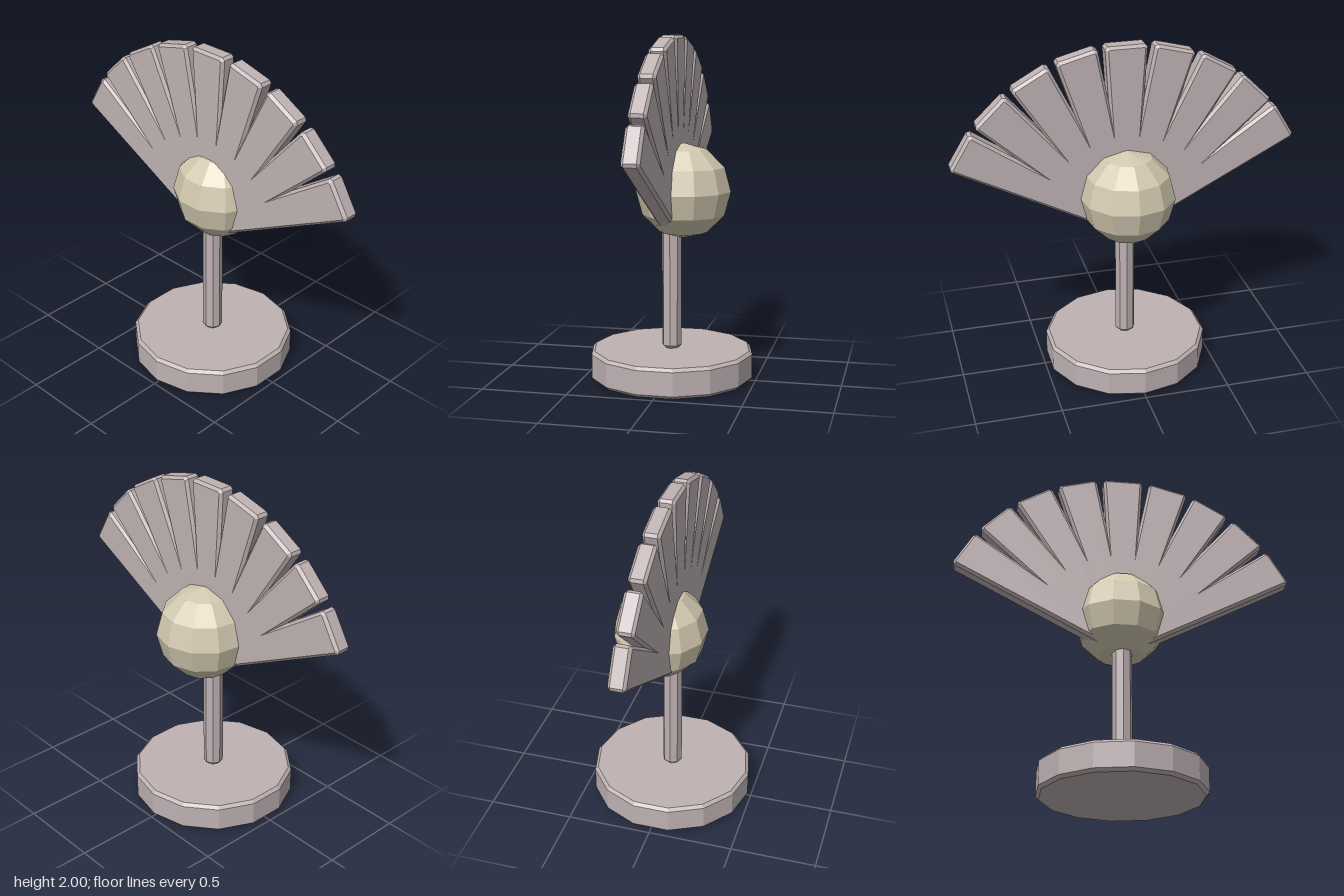
import * as THREE from 'three';

const BEVEL = 0.016;

// Faceted, chamfered upright cylinder
function chamferedDrum(radius, y0, y1, sides, chamfer) {
  const profile = [
    [0, y0], [radius - chamfer, y0], [radius, y0 + chamfer],
    [radius, y1 - chamfer], [radius - chamfer, y1], [0, y1],
  ].map(([r, y]) => new THREE.Vector2(r, y));
  return new THREE.LatheGeometry(profile, sides);
}

// Tapered blade with chamfered tip and edges, standing on its pivot
function bladeGeometry(length, baseHalf, tipHalf, thickness) {
  const c = BEVEL;
  const shape = new THREE.Shape([
    [-baseHalf, 0], [baseHalf, 0], [tipHalf, length - c], [tipHalf - c, length],
    [c - tipHalf, length], [-tipHalf, length - c],
  ].map(([x, y]) => new THREE.Vector2(x, y)));
  const geo = new THREE.ExtrudeGeometry(shape, {
    depth: thickness - 2 * BEVEL, bevelEnabled: true, bevelSegments: 1,
    bevelSize: BEVEL, bevelThickness: BEVEL, bevelOffset: -BEVEL,
  });
  return geo.translate(0, 0, BEVEL - thickness / 2);
}

export function createModel() {
  const model = new THREE.Group();
  model.name = 'fanOnStand';

  const mauve = new THREE.MeshStandardMaterial({ color: 0xbfb2b3, flatShading: true });
  mauve.name = 'mauve grey';
  const cream = new THREE.MeshStandardMaterial({ color: 0xd3c9b0, flatShading: true });
  cream.name = 'cream';

  const add = (name, geometry, material, parent = model) => {
    const mesh = new THREE.Mesh(geometry, material);
    mesh.name = name;
    parent.add(mesh);
    return mesh;
  };

  // Round base and post
  add('base', chamferedDrum(0.48, 0, 0.175, 14, 0.018), mauve);
  add('post', chamferedDrum(0.058, 0.175, 0.95, 8, 0.018), mauve);

  // Hub ball, set slightly behind the fan
  const ball = new THREE.SphereGeometry(0.277, 11, 6).rotateY(-Math.PI / 2);
  add('hubBall', ball, cream).position.set(0, 1.11, -0.07);

  // Nine overlapping blades spread about one pivot
  const fan = new THREE.Group();
  fan.name = 'fan';
  fan.position.set(0, 0.9, -0.003);
  model.add(fan);
  const blade = bladeGeometry(1.1, 0.054, 0.12, 0.102);
  const step = THREE.MathUtils.degToRad(14.75);
  for (let i = -4; i <= 4; i++) {
    add('blade', blade, mauve, fan).rotation.z = -i * step;
  }

  return model;
}
